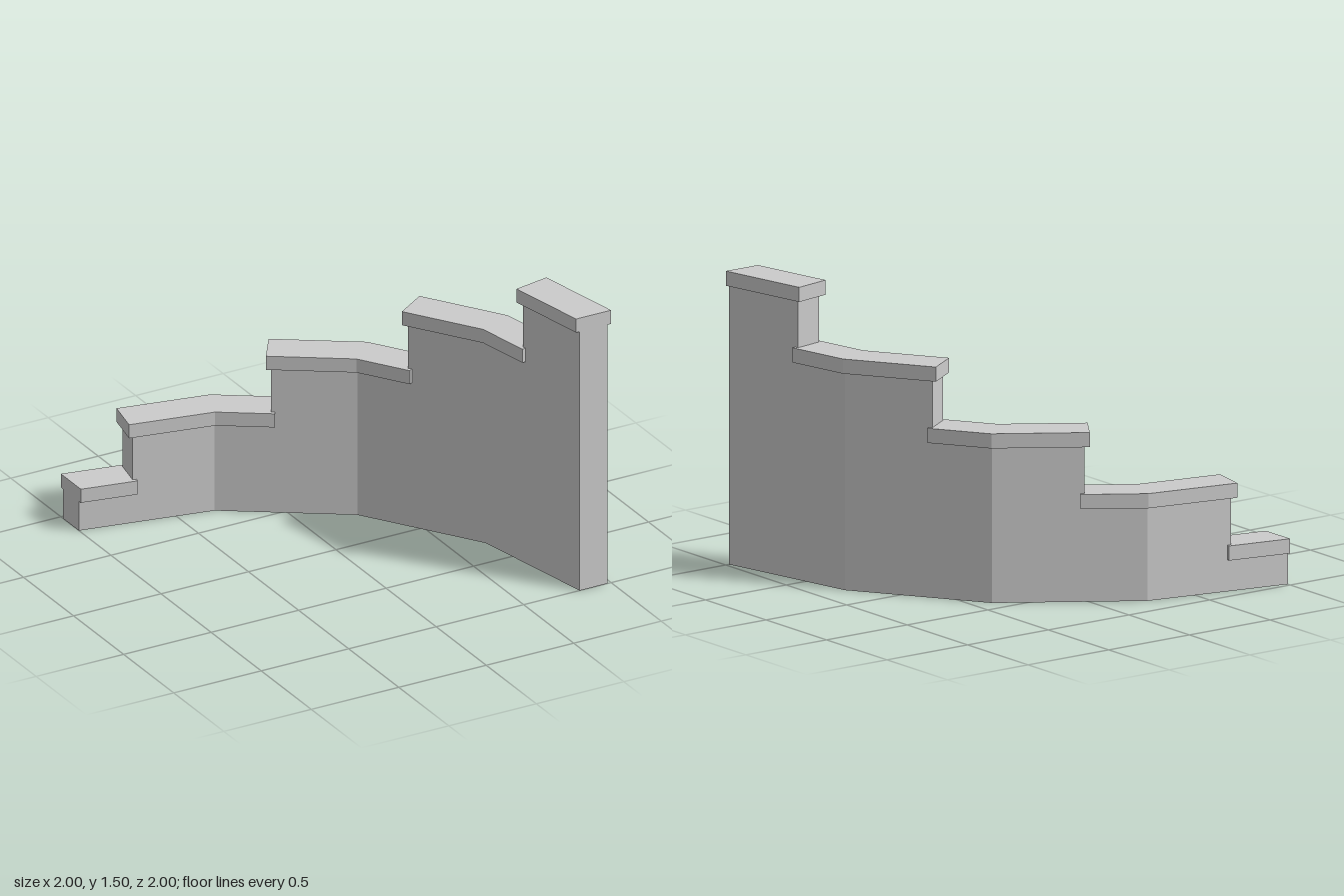
import * as THREE from 'three';

const SEGMENTS = 4;              // straight runs in the quarter arc
const STEPS = 5;                 // wall heights, rising along the arc
const STEP_ANGLE = Math.PI / 2 / SEGMENTS;
const MID_RADIUS = 1.9;
const RUN = 2 * MID_RADIUS * Math.sin(STEP_ANGLE / 2);
const CAP = 0.075;               // coping thickness

// Corner k of the polygonal arc, in plan (x, -z)
const corner = (k, r) => new THREE.Vector2(
  -1 + r * Math.sin(k * STEP_ANGLE), -1 + r * Math.cos(k * STEP_ANGLE));

// Point at distance s along the path, shifted sideways by `off`;
// whole corners are mitred, other points are cut square to the run.
function planPoint(s, off) {
  const t = s / RUN;
  const k = Math.round(t);
  if (Math.abs(t - k) < 1e-6) return corner(k, MID_RADIUS + off);
  const i = Math.floor(t);
  const a = (i + 0.5) * STEP_ANGLE;
  const p = corner(i, MID_RADIUS).lerp(corner(i + 1, MID_RADIUS), t - i);
  const w = off * Math.cos(STEP_ANGLE / 2);
  return p.add(new THREE.Vector2(Math.sin(a) * w, Math.cos(a) * w));
}

// Upright band following the path from s0 to s1
function band(name, s0, s1, halfWidth, y0, y1, material) {
  const stops = [s0];
  for (let k = 1; k < SEGMENTS; k++) {
    if (k * RUN > s0 && k * RUN < s1) stops.push(k * RUN);
  }
  stops.push(s1);
  const inner = stops.map(s => planPoint(s, -halfWidth));
  const outer = stops.map(s => planPoint(s, halfWidth)).reverse();
  const geometry = new THREE.ExtrudeGeometry(
    new THREE.Shape([...inner, ...outer]), { depth: y1 - y0, bevelEnabled: false });
  geometry.rotateX(-Math.PI / 2).translate(0, y0, 0);
  const mesh = new THREE.Mesh(geometry, material);
  mesh.name = name;
  return mesh;
}

export function createModel() {
  const group = new THREE.Group();
  group.name = 'steppedCurvedWall';
  const stone = new THREE.MeshStandardMaterial({ color: 0xcccccc, flatShading: true });

  for (let i = 0; i < STEPS; i++) {
    const first = i === 0;
    const last = i === STEPS - 1;
    const start = first ? 0 : (i - 0.6) * RUN;
    const end = last ? SEGMENTS * RUN : (i + 0.4) * RUN;
    const top = 0.237 + i * 0.317;

    // Wall section
    group.add(band(`wall${i + 1}`, start, end, 0.08, 0, top - CAP, stone));
    // Coping, overhanging the step below and tucked into the next section
    group.add(band(`coping${i + 1}`, first ? start : start - 0.025,
      last ? end : end + 0.02, 0.1, top - CAP, top, stone));
  }
  return group;
}
